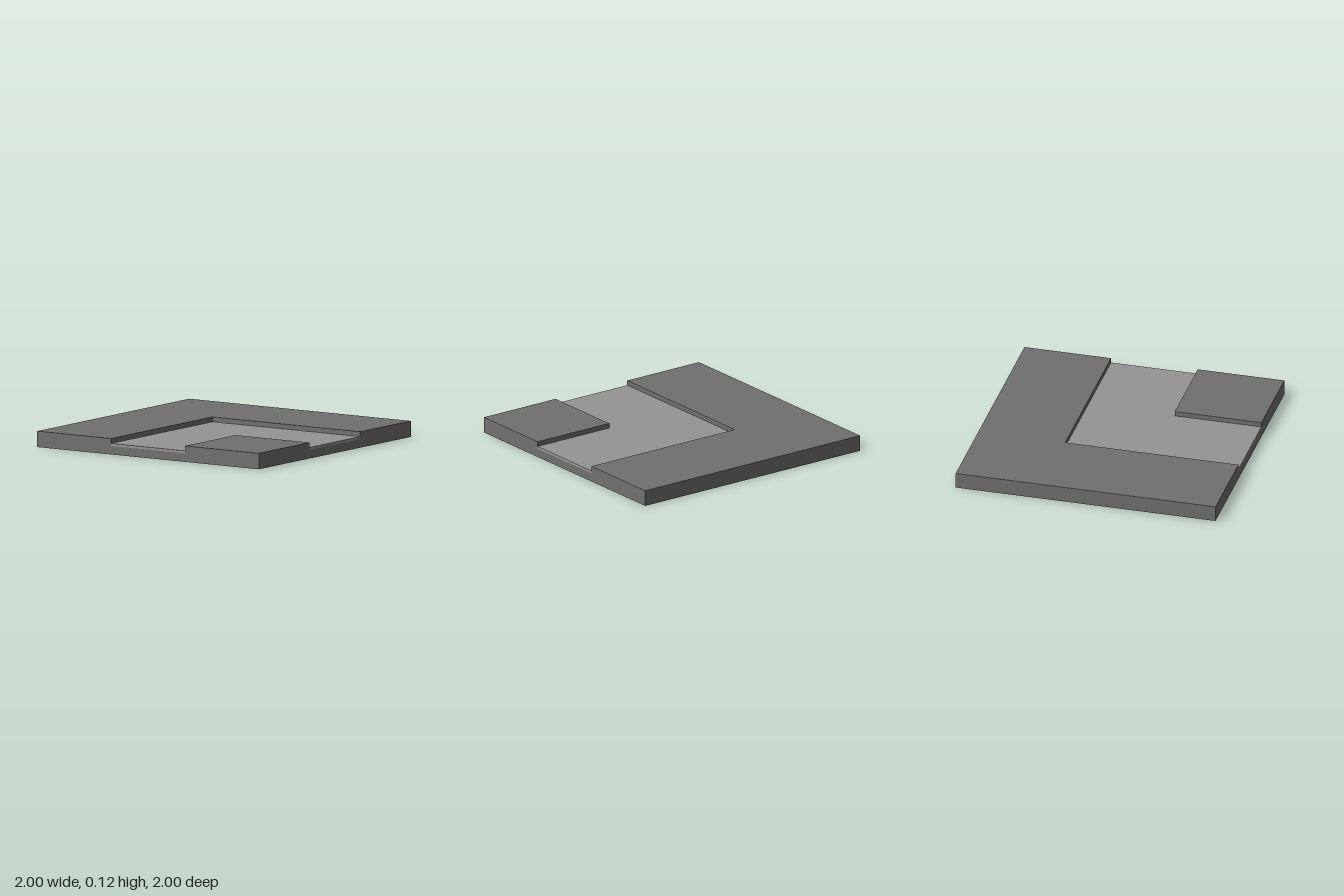
import * as THREE from 'three';

const T = 1 / 3;
const TOP = 0.12, BED = 0.064, PATH = 0.083;

const darkGrey = new THREE.MeshStandardMaterial({ color: 0x707070 });
const lightGrey = new THREE.MeshStandardMaterial({ color: 0x959595 });

// L-shaped slab wrapped around the front-left corner, from offset a (outer) to b (inner)
function cornerSlab(name, a, b, y0, y1, material) {
  const points = [[a, a], [1, a], [1, b], [b, b], [b, 1], [a, 1]];
  const shape = new THREE.Shape(points.map(([x, z]) => new THREE.Vector2(x, -z)));
  const geometry = new THREE.ExtrudeGeometry(shape, { depth: y1 - y0, bevelEnabled: false });
  geometry.rotateX(-Math.PI / 2).translate(0, y0, 0);
  const mesh = new THREE.Mesh(geometry, material);
  mesh.name = name;
  return mesh;
}

export function createModel() {
  const tile = new THREE.Group();
  tile.name = 'cornerPathTile';

  // Raised ground on the outside of the bend
  tile.add(cornerSlab('outerGround', -1, -T, 0, TOP, darkGrey));

  // Sunken bed with the lighter path surface laid on it
  tile.add(cornerSlab('pathBed', -T, T, 0, BED, darkGrey));
  tile.add(cornerSlab('pathSurface', -T, T, BED, PATH, lightGrey));

  // Raised block on the inside of the bend
  const side = 1 - T;
  const block = new THREE.Mesh(new THREE.BoxGeometry(side, TOP, side), darkGrey);
  block.name = 'innerGround';
  block.position.set(T + side / 2, TOP / 2, T + side / 2);
  tile.add(block);

  return tile;
}
